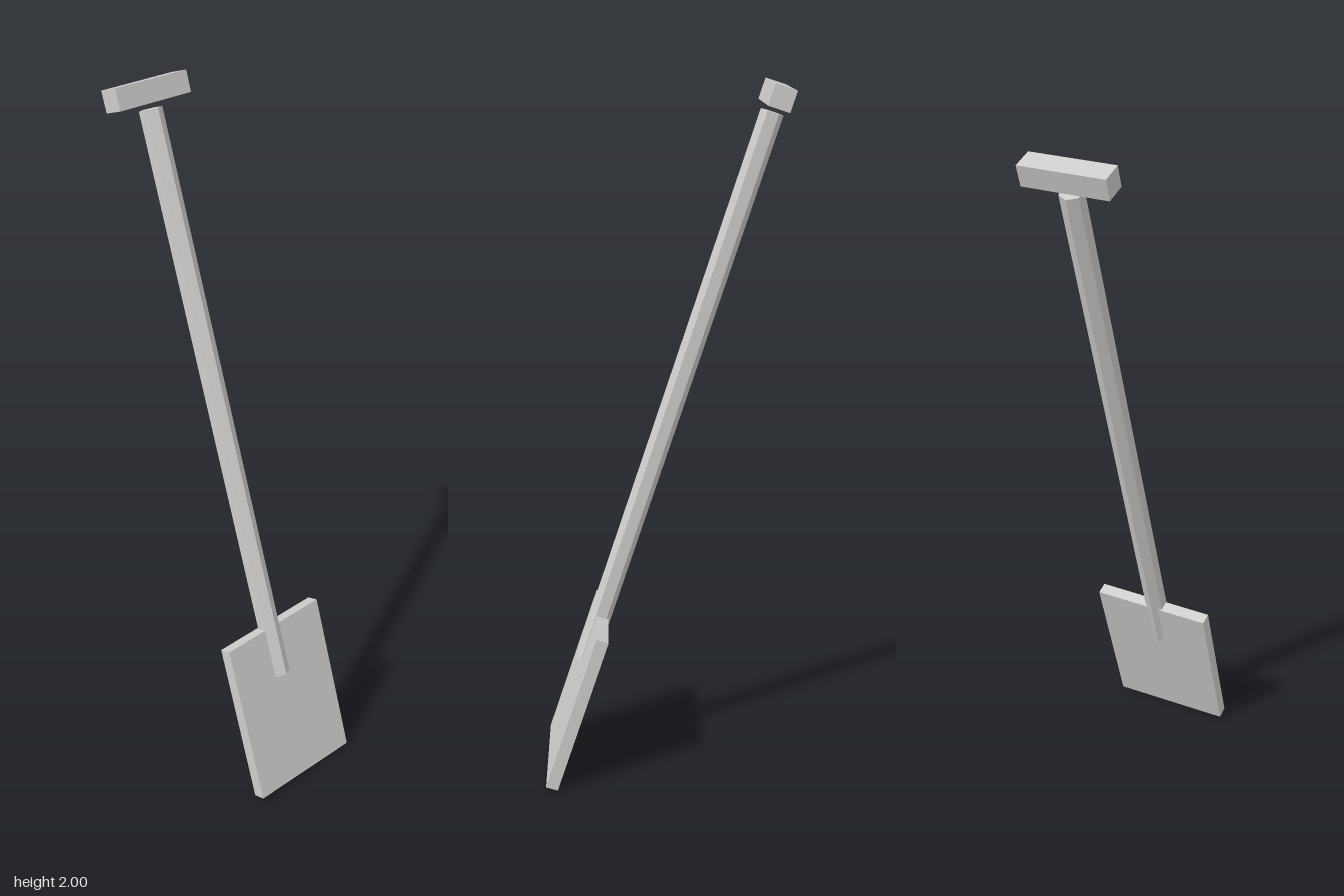
import * as THREE from 'three';

export function createModel() {
  const group = new THREE.Group();
  const grey = new THREE.MeshStandardMaterial({ color: 0xcccccc });
  grey.name = 'light grey';
  const lean = -THREE.MathUtils.degToRad(18.1); // the whole tool leans back

  const add = (name, geometry, x, y, z) => {
    const mesh = new THREE.Mesh(geometry, grey);
    mesh.name = name;
    mesh.position.set(x, y, z);
    mesh.rotation.x = lean;
    group.add(mesh);
  };

  // Flat blade, very slightly out of square
  const outline = new THREE.Shape([
    [-0.183, -0.242], [0.178, -0.248], [0.181, 0.247], [-0.18, 0.244],
  ].map(([x, y]) => new THREE.Vector2(x, y)));
  const thickness = 0.036;
  const blade = new THREE.ExtrudeGeometry(outline, { depth: thickness, bevelEnabled: false });
  blade.translate(0, 0, -thickness / 2);
  add('blade', blade, 0, 0.241, 0.2495);

  // Six-sided shaft with one edge facing forward, flat shaded
  const shaft = new THREE.CylinderGeometry(0.032, 0.032, 1.672, 6).toNonIndexed();
  shaft.computeVertexNormals();
  add('shaft', shaft, -0.009, 1.125, -0.035);

  // Cross grip floating just above the shaft
  add('grip', new THREE.BoxGeometry(0.242, 0.059, 0.0605), -0.009, 1.9635, -0.308);

  return group;
}
